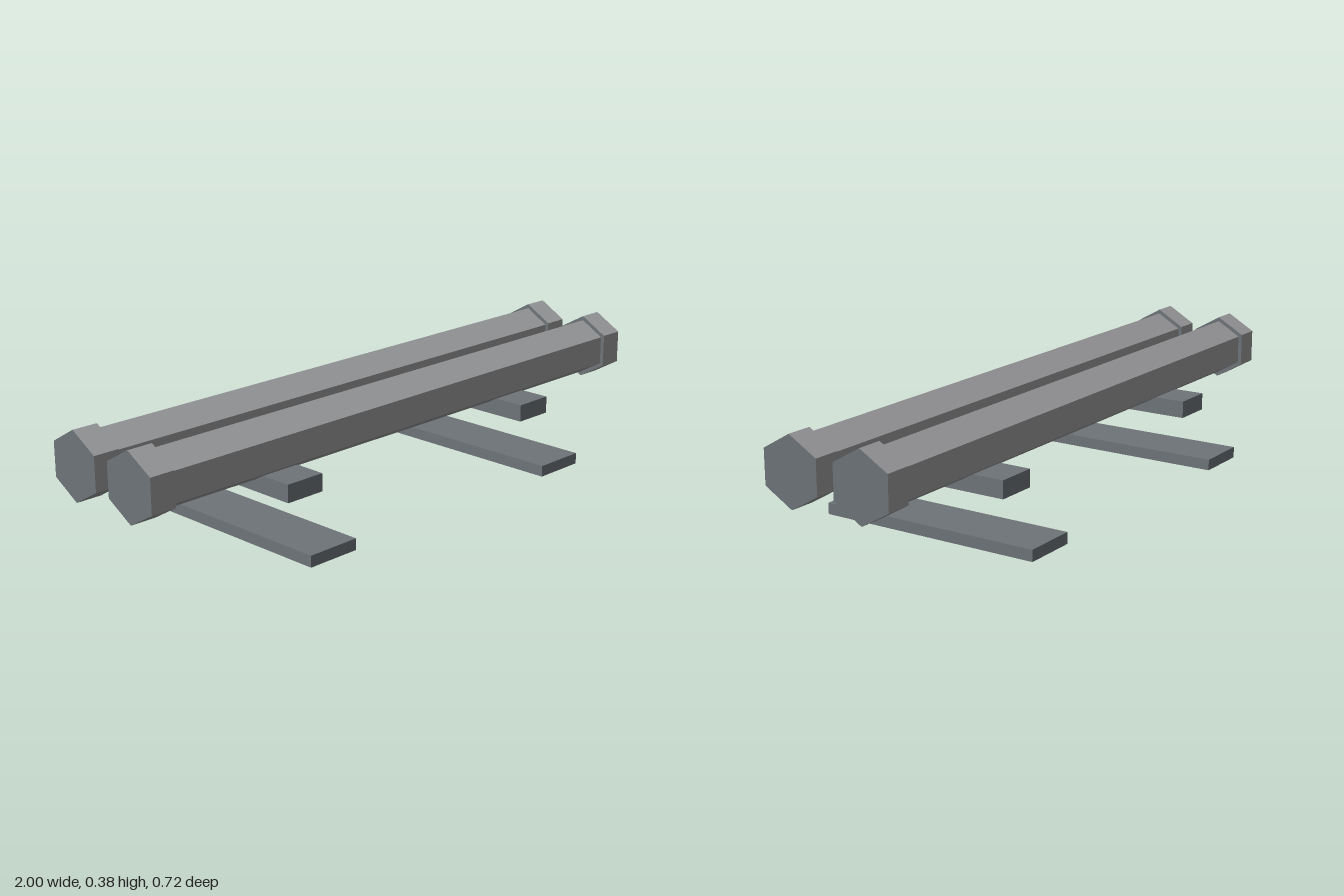
import * as THREE from 'three';

const lightSteel = new THREE.MeshStandardMaterial({ color: 0x9a9b9d, flatShading: true });
lightSteel.name = 'lightSteel';
const darkSteel = new THREE.MeshStandardMaterial({ color: 0x6d7478, flatShading: true });
darkSteel.name = 'darkSteel';

// Hexagonal bar lying along x, with a corner pointing straight up
function hexBar(name, radius, length, x, material) {
  const geometry = new THREE.CylinderGeometry(radius, radius, length, 6, 1, false, Math.PI / 2);
  geometry.rotateZ(Math.PI / 2);
  const mesh = new THREE.Mesh(geometry, material);
  mesh.name = name;
  mesh.position.x = x;
  return mesh;
}

function box(name, w, h, d, x, y) {
  const mesh = new THREE.Mesh(new THREE.BoxGeometry(w, h, d), darkSteel);
  mesh.name = name;
  mesh.position.set(x, y, 0);
  return mesh;
}

export function createModel() {
  const model = new THREE.Group();
  model.name = 'twinRail';

  // Two parallel rails with wider end caps; cap end faces are dark
  for (const [side, z] of [['front', 0.118], ['back', -0.118]]) {
    const rail = new THREE.Group();
    rail.name = side + 'Rail';
    rail.position.set(0, 0.277, z);
    rail.add(hexBar('beam', 0.09, 1.9, 0, lightSteel));
    rail.add(hexBar('leftEndCap', 0.104, 0.08, 0.96, [lightSteel, darkSteel, darkSteel]));
    rail.add(hexBar('rightEndCap', 0.104, 0.08, -0.96, [lightSteel, darkSteel, darkSteel]));
    model.add(rail);
  }

  // Cross supports under the rails and the flat foot plates below them
  for (const [side, x] of [['left', 0.5], ['right', -0.5]]) {
    model.add(box(side + 'CrossSupport', 0.13, 0.054, 0.5, x, 0.178));
    model.add(box(side + 'FootPlate', 0.173, 0.035, 0.72, x, 0.0175));
  }
  return model;
}
